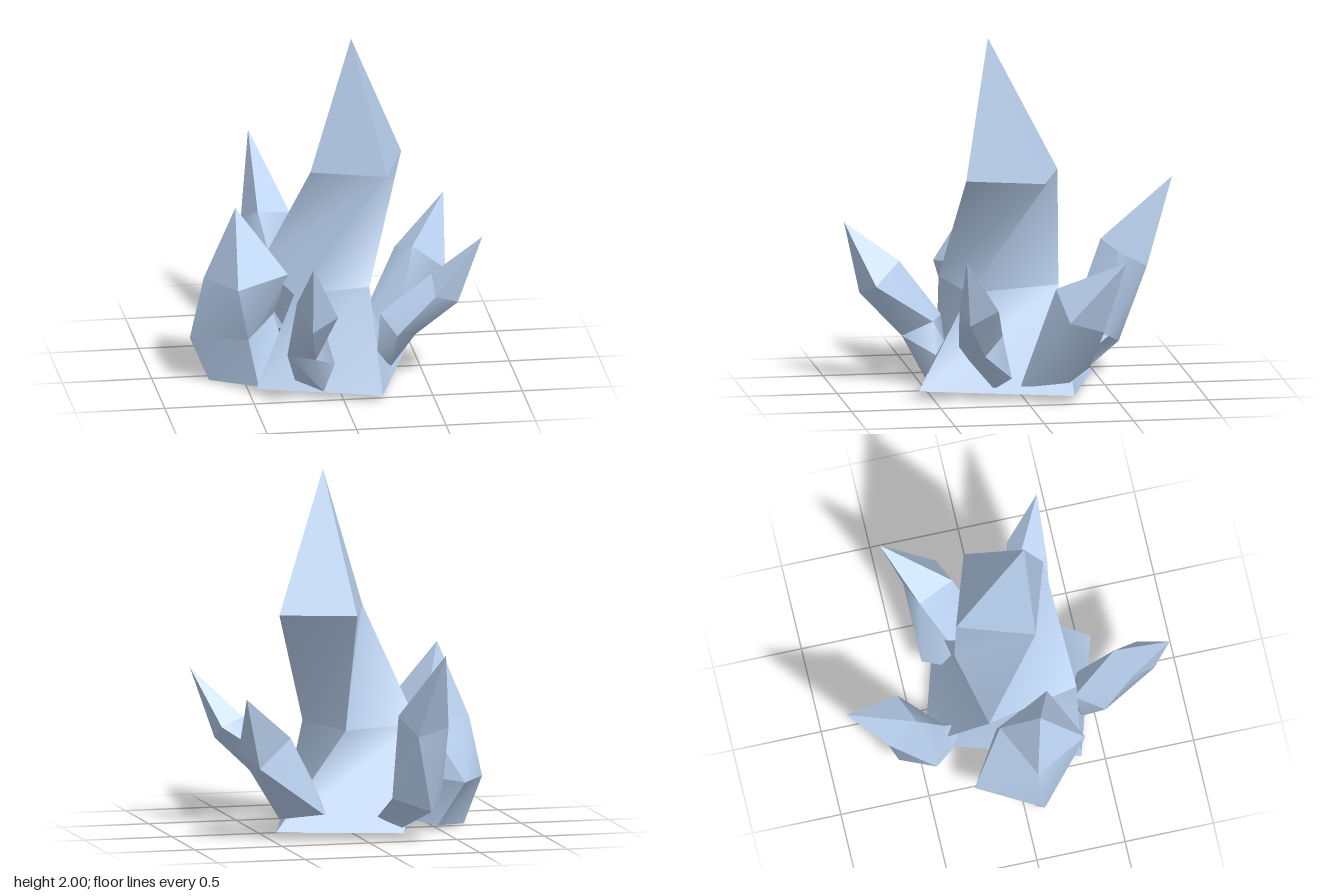
import * as THREE from 'three';

const material = new THREE.MeshStandardMaterial({ color: 0xb9d0ee });

// A ring is three corners of a four-sided section; the fourth completes the parallelogram.
function ring(corners) {
  const [a, b, c] = corners.map((p) => new THREE.Vector3(...p));
  return [a, b, c, a.clone().add(c).sub(b)];
}

// Faceted crystal: a tip above four-sided sections listed from top to bottom.
// Each facet owns its vertices, so edges are sharp and twisted facets shade softly.
function crystal(name, tip, ...sections) {
  const positions = [];
  const indices = [];
  const facet = (...points) => {
    const n = positions.length / 3;
    points.forEach((p) => positions.push(p.x, p.y, p.z));
    for (let i = 1; i < points.length - 1; i++) indices.push(n, n + i, n + i + 1);
  };

  const rings = sections.map(ring);
  const apex = new THREE.Vector3(...tip);
  for (let i = 0; i < 4; i++) {
    const j = (i + 1) % 4;
    facet(rings[0][i], rings[0][j], apex);
    for (let r = 1; r < rings.length; r++) {
      facet(rings[r][i], rings[r][j], rings[r - 1][j], rings[r - 1][i]);
    }
  }
  facet(...rings[rings.length - 1].slice().reverse()); // underside

  const geometry = new THREE.BufferGeometry();
  geometry.setAttribute('position', new THREE.Float32BufferAttribute(positions, 3));
  geometry.setIndex(indices);
  geometry.computeVertexNormals();
  const mesh = new THREE.Mesh(geometry, material);
  mesh.name = name;
  return mesh;
}

export function createModel() {
  const group = new THREE.Group();
  group.name = 'crystalCluster';

  // Tall twisted crystal with a broad foot
  group.add(crystal('mainCrystal', [0.09, 2, 0.17],
    [[-0.14, 1.23, 0.185], [0.27, 1.23, 0.32], [0.41, 1.23, -0.1]],
    [[-0.37, 0.6, -0.13], [-0.26, 0.59, 0.39], [0.175, 0.58, 0.29]],
    [[-0.21, 0.04, -0.46], [-0.47, 0.04, 0.37], [0.21, 0.04, 0.575]]));

  // Stout crystal on the -x side
  group.add(crystal('rightCrystal', [-0.55, 1.02, 0.12],
    [[-0.42, 0.63, -0.08], [-0.72, 0.6, 0.07], [-0.57, 0.62, 0.37]],
    [[-0.61, 0.28, -0.265], [-0.8, 0.26, 0.09], [-0.5, 0.3, 0.28]],
    [[-0.48, 0.03, -0.16], [-0.69, 0, 0.07], [-0.45, 0.04, 0.33]]));

  // Slim crystal leaning forward
  group.add(crystal('frontCrystal', [-0.23, 0.92, 0.925],
    [[-0.29, 0.65, 0.7], [-0.22, 0.52, 0.84], [-0.07, 0.58, 0.77]],
    [[-0.32, 0.29, 0.54], [-0.17, 0.28, 0.61], [-0.09, 0.37, 0.45]],
    [[-0.11, 0.05, 0.49], [-0.04, 0.19, 0.44], [-0.19, 0.24, 0.37]]));

  // Slim crystal leaning to the +x side
  group.add(crystal('leftFrontCrystal', [0.79, 0.88, 0.4],
    [[0.53, 0.54, 0.4], [0.66, 0.49, 0.36], [0.66, 0.57, 0.2]],
    [[0.32, 0.31, 0.37], [0.44, 0.27, 0.24], [0.36, 0.37, 0.13]],
    [[0.31, 0.06, 0.17], [0.37, 0.13, 0.08], [0.28, 0.27, 0.2]]));

  // Wide crystal leaning to the +x side and back
  group.add(crystal('leftBackCrystal', [0.705, 0.83, -0.51],
    [[0.48, 0.65, -0.15], [0.67, 0.49, -0.2], [0.6, 0.42, -0.4]],
    [[0.345, 0.07, 0.03], [0.444, 0.11, -0.23], [0.23, 0.15, -0.38]]));

  // Long crystal leaning backward
  group.add(crystal('backCrystal', [-0.325, 1.1, -0.93],
    [[-0.4, 0.66, -0.7], [-0.33, 0.76, -0.53], [-0.14, 0.72, -0.6]],
    [[-0.43, 0.25, -0.44], [-0.23, 0.32, -0.35], [-0.12, 0.25, -0.54]],
    [[-0.31, 0.13, -0.33], [-0.19, 0.18, -0.24], [-0.08, 0.12, -0.36]]));

  return group;
}
